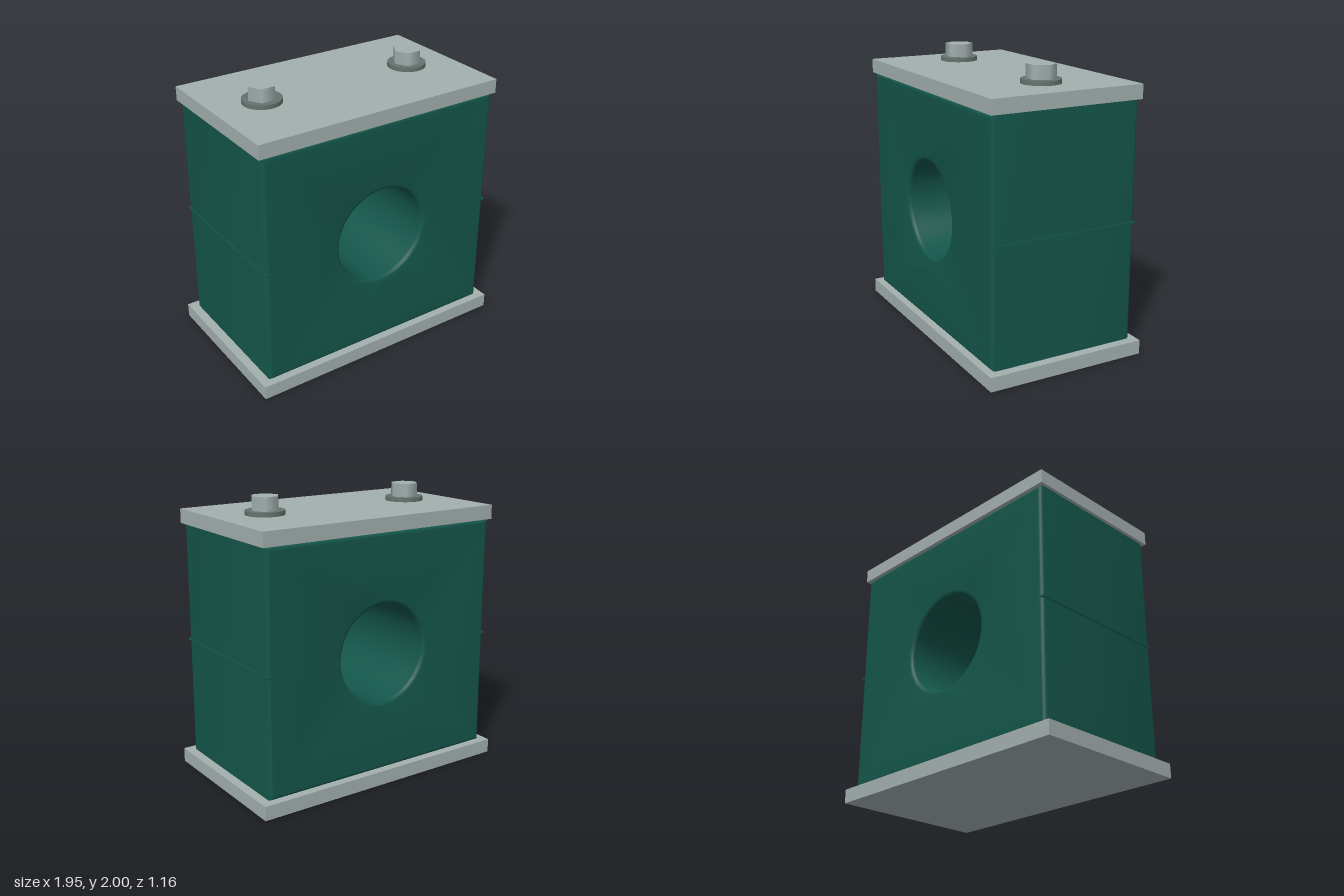
import * as THREE from 'three';
import { toCreasedNormals } from 'three/addons/utils/BufferGeometryUtils.js';

const steel = new THREE.MeshStandardMaterial({ color: 0xa3b0ae });
const darkSteel = new THREE.MeshStandardMaterial({ color: 0x64736f });
const green = new THREE.MeshStandardMaterial({ color: 0x14564a });

const HOLE_Y = 0.943, HOLE_R = 0.345;

function add(parent, name, geometry, material, x, y, z) {
  const mesh = new THREE.Mesh(geometry, material);
  mesh.name = name;
  mesh.position.set(x, y, z);
  parent.add(mesh);
  return mesh;
}

// Block with a pipe bore, softened along its front, back and bore rims
function clampBody() {
  const bottom = 0.1, top = 1.775, halfW = 0.912, depth = 1.084, bevel = 0.03;
  const shape = new THREE.Shape();
  shape.moveTo(-halfW, bottom);
  shape.lineTo(halfW, bottom);
  shape.lineTo(halfW, top);
  shape.lineTo(-halfW, top);
  shape.closePath();
  const bore = new THREE.Path();
  bore.absarc(0, HOLE_Y, HOLE_R, 0, Math.PI * 2, true);
  shape.holes.push(bore);
  const geometry = new THREE.ExtrudeGeometry(shape, {
    depth: depth - 2 * bevel, curveSegments: 48,
    bevelSize: bevel, bevelThickness: bevel, bevelOffset: -bevel, bevelSegments: 4,
  });
  geometry.translate(0, 0, -depth / 2 + bevel);
  return toCreasedNormals(geometry, 0.42);
}

export function createModel() {
  const model = new THREE.Group();
  model.name = 'pipeClamp';

  // Plates above and below the clamp
  add(model, 'basePlate', new THREE.BoxGeometry(1.954, 0.1, 1.164), steel, 0, 0.05, 0);
  add(model, 'topPlate', new THREE.BoxGeometry(1.87, 0.1, 1.106), steel, 0, 1.825, 0);

  add(model, 'clampBody', clampBody(), green, 0, 0, 0);

  for (const side of [-1, 1]) {
    const label = side > 0 ? 'left' : 'right';

    // Thin parting line between the two clamp halves
    const inner = HOLE_R + 0.032, outer = 0.92;
    add(model, label + 'Seam', new THREE.BoxGeometry(outer - inner, 0.012, 1.085), green,
      side * (inner + outer) / 2, HOLE_Y, 0);

    // Hexagonal bolt head on its washer, corners pointing sideways
    const bolt = new THREE.Group();
    bolt.name = label + 'Bolt';
    bolt.position.set(side * 0.587, 1.875, 0);
    add(bolt, 'washer', new THREE.CylinderGeometry(0.135, 0.135, 0.03, 40), darkSteel, 0, 0.015, 0);
    const head = add(bolt, 'hexHead', new THREE.CylinderGeometry(0.1, 0.1, 0.095, 6), steel, 0, 0.0775, 0);
    head.rotation.y = Math.PI / 2;
    model.add(bolt);
  }
  return model;
}
